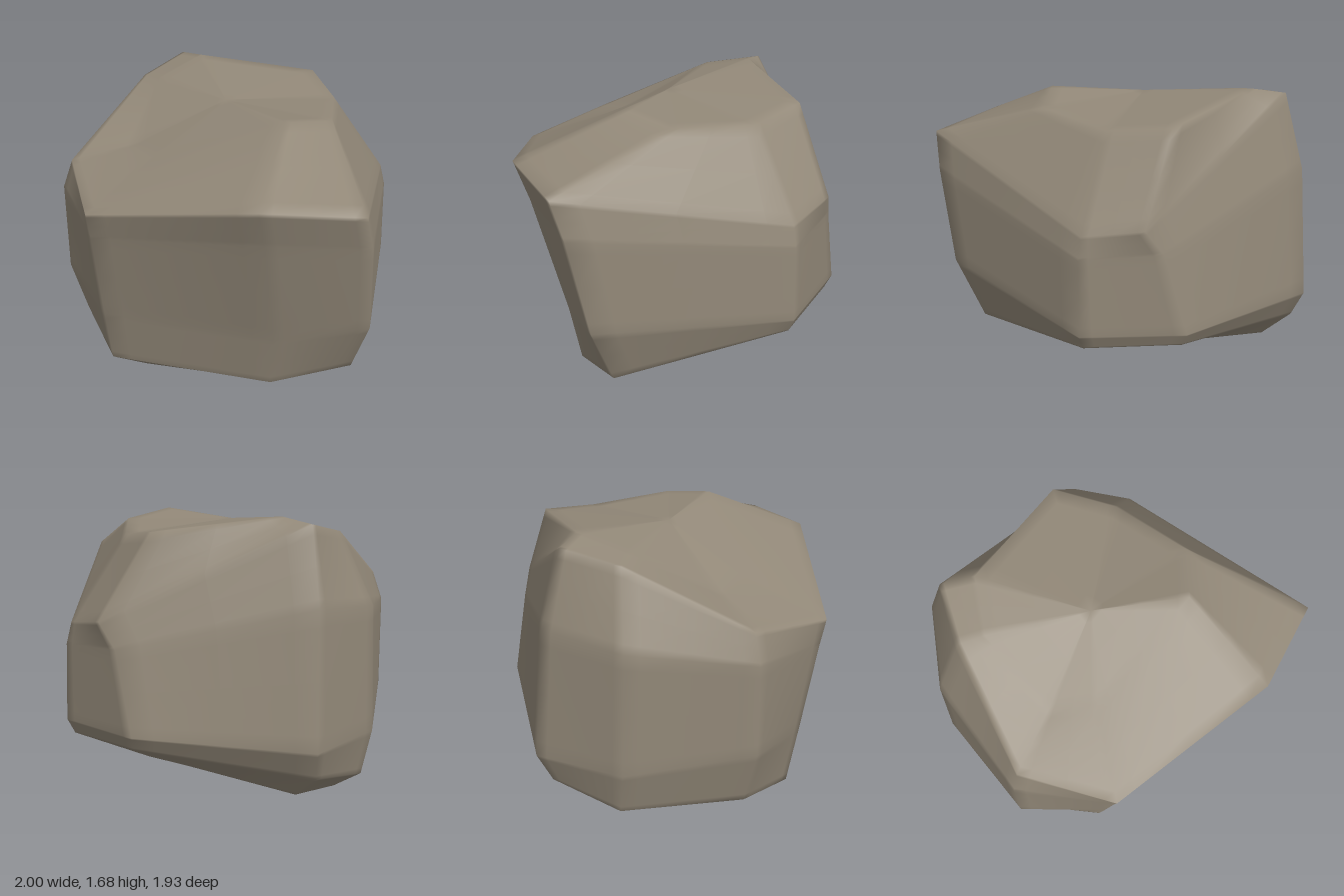
import * as THREE from 'three';
import { mergeVertices } from 'three/addons/utils/BufferGeometryUtils.js';

const V = (x, y, z) => new THREE.Vector3(x, y, z);

// Add points close to each corner, so smooth normals give a narrow worn edge between flat faces
function bevel(pts, closed) {
  const out = [];
  const n = closed ? pts.length : pts.length - 1;
  for (let i = 0; i < n; i++) {
    const a = pts[i], b = pts[(i + 1) % pts.length];
    for (const t of [0, 0.12, 0.5, 0.88]) out.push(a.clone().lerp(b, t));
  }
  if (!closed) out.push(pts[n].clone());
  return out;
}

// Eight corners per tilted loop: right, front right, front left, left, left back, back left, back right, right back
const loops = [
  // flat underside
  [V(0.62, 0.07, 0.42), V(0.27, 0.005, 0.54), V(-0.4, 0, 0.58), V(-0.7, 0.06, 0.3),
    V(-0.72, 0.06, -0.46), V(-0.5, 0.07, -0.66), V(0.15, 0.2, -0.6), V(0.42, 0.16, -0.36)],
  // lower edge
  [V(0.88, 0.18, 0.47), V(0.42, 0.06, 0.62), V(-0.6, 0.06, 0.65), V(-0.92, 0.16, 0.3),
    V(-0.88, 0.13, -0.42), V(-0.62, 0.22, -0.79), V(0.4, 0.4, -0.92), V(0.83, 0.37, -0.57)],
  // lower wall
  [V(0.995, 0.55, 0.6), V(0.45, 0.42, 0.69), V(-0.61, 0.42, 0.71), V(-1, 0.5, 0.35),
    V(-0.94, 0.4, -0.41), V(-0.63, 0.4, -0.88), V(0.4, 0.48, -0.965), V(0.87, 0.46, -0.59)],
  // upper wall
  [V(1, 1.12, 0.72), V(0.44, 1.14, 0.88), V(-0.62, 0.98, 0.8), V(-1, 1.06, 0.35),
    V(-0.92, 1.15, -0.39), V(-0.62, 1.2, -0.81), V(0.5, 0.96, -0.88), V(0.86, 0.92, -0.58)],
  // upper edge, rising steeply at the left back
  [V(0.97, 1.35, 0.79), V(0.43, 1.38, 0.965), V(-0.63, 1.15, 0.83), V(-0.94, 1.24, 0.33),
    V(-0.72, 1.58, -0.37), V(-0.57, 1.65, -0.69), V(0.6, 1.11, -0.84), V(0.83, 1.05, -0.57)],
  // crown, with a hollow at the front left
  [V(0.62, 1.59, 0.1), V(0.4, 1.64, 0.33), V(-0.35, 1.37, 0.37), V(-0.58, 1.34, 0.2),
    V(-0.58, 1.6, -0.3), V(-0.4, 1.68, -0.58), V(0.32, 1.6, -0.72), V(0.53, 1.55, -0.4)],
];
const underCentre = V(-0.1, 0.04, 0);
const crownCentre = V(-0.05, 1.61, 0);

function rockGeometry() {
  const rings = loops.map((loop) => bevel(loop, true));
  const sides = rings[0].length;
  // One rib from the underside to the crown for every ring point
  const ribs = rings[0].map((_, j) => bevel([underCentre, ...rings.map((r) => r[j]), crownCentre], false));
  const rows = ribs[0].length;
  const index = [];
  for (let j = 0; j < sides; j++) {
    const a = j * rows, b = ((j + 1) % sides) * rows;
    for (let i = 0; i < rows - 1; i++) {
      if (i < rows - 2) index.push(a + i + 1, b + i + 1, b + i);
      index.push(a + i, a + i + 1, b + i);
    }
  }
  const geo = new THREE.BufferGeometry().setFromPoints(ribs.flat());
  geo.setIndex(index);
  const merged = mergeVertices(geo, 1e-5);
  merged.computeVertexNormals();
  return merged;
}

export function createModel() {
  const stone = new THREE.MeshStandardMaterial({ color: 0x928878 });
  stone.name = 'stone';
  const rock = new THREE.Mesh(rockGeometry(), stone);
  rock.name = 'boulder';
  const group = new THREE.Group();
  group.name = 'rock';
  group.add(rock);
  return group;
}
